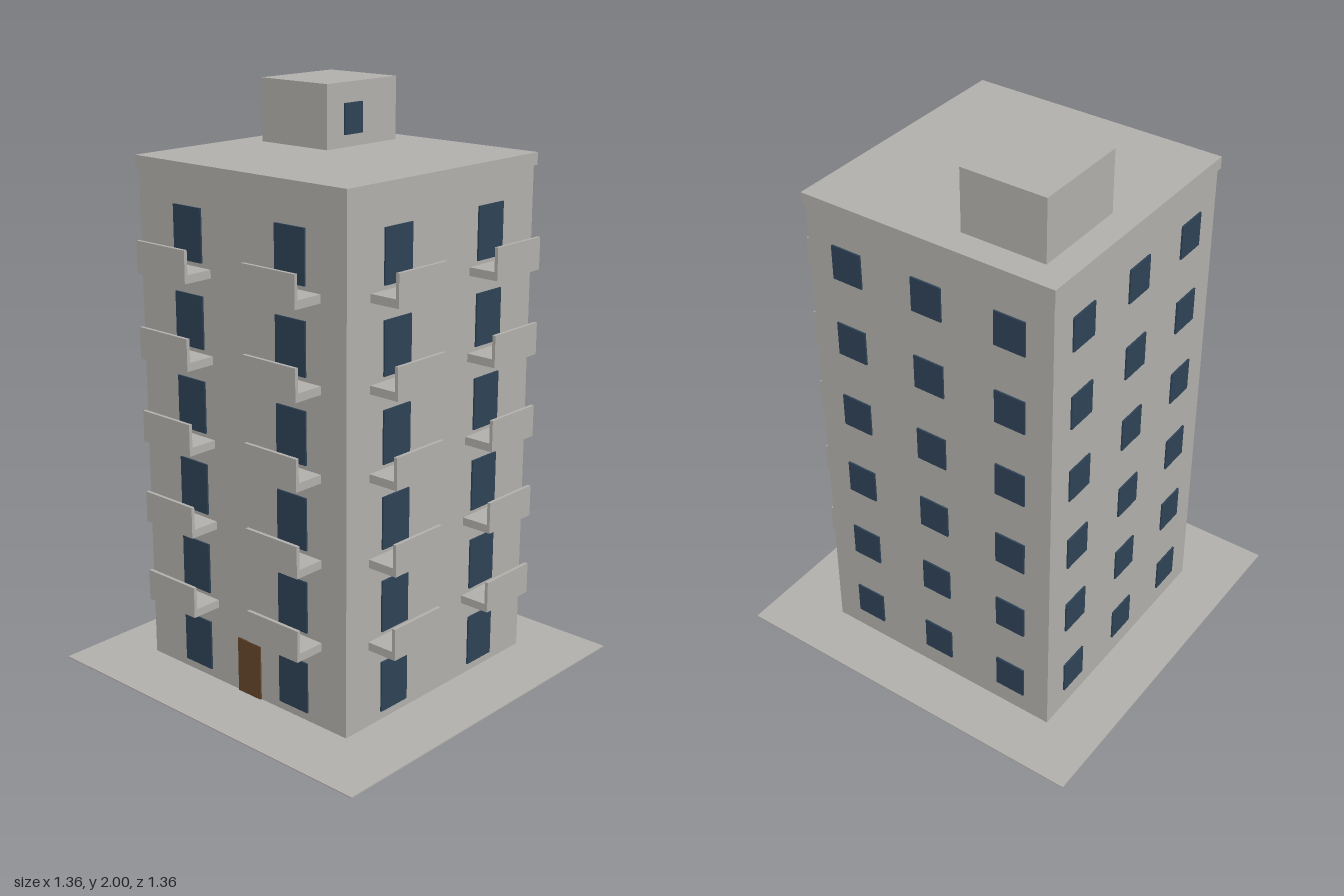
import * as THREE from 'three';

export function createModel() {
  const model = new THREE.Group();
  model.name = 'apartmentBlock';

  const concrete = new THREE.MeshStandardMaterial({ color: 0xb1afaa });
  concrete.name = 'concrete grey';
  const glass = new THREE.MeshStandardMaterial({ color: 0x2e4256 });
  glass.name = 'window blue';
  const wood = new THREE.MeshStandardMaterial({ color: 0x64452b });
  wood.name = 'door brown';

  // Box given by its lower and upper corners
  function box(name, material, [x0, y0, z0], [x1, y1, z1], parent = model) {
    const mesh = new THREE.Mesh(new THREE.BoxGeometry(x1 - x0, y1 - y0, z1 - z0), material);
    mesh.position.set((x0 + x1) / 2, (y0 + y1) / 2, (z0 + z1) / 2);
    mesh.name = name;
    parent.add(mesh);
    return mesh;
  }

  // Box on a wall: u runs along the wall, d is the distance along its axis
  function wallBox(name, material, axis, [u0, u1], [y0, y1], [d0, d1], parent) {
    return axis === 'z'
      ? box(name, material, [u0, y0, d0], [u1, y1, d1], parent)
      : box(name, material, [d0, y0, u0], [d1, y1, u1], parent);
  }

  const LOW = -0.481, HIGH = 0.434, MID = (LOW + HIGH) / 2;
  const FLOORS = 6, STOREY = 0.2866, PLATE = 0.006;

  // Main masses
  box('ground', concrete, [-0.678, 0, -0.678], [0.678, 0.004, 0.678]);
  box('tower', concrete, [LOW, 0.004, LOW], [HIGH, 1.742, HIGH]);
  box('roofSlab', concrete, [-0.486, 1.742, -0.486], [0.445, 1.784, 0.445]);
  box('roofHouse', concrete, [-0.391, 1.784, -0.391], [-0.089, 2, -0.044]);
  box('roofHouseWindow', glass, [-0.089, 1.826, -0.215], [-0.082, 1.931, -0.127]);
  box('door', wood, [-0.053, 0, HIGH], [0.051, 0.2, HIGH + PLATE]);

  // Slab with an upright front panel, open at both ends
  function balcony(axis, u, y) {
    const group = new THREE.Group();
    group.name = 'balcony';
    const span = [u - 0.1125, u + 0.1125];
    wallBox('balconySlab', concrete, axis, span, [y, y + 0.028], [HIGH, 0.533], group);
    wallBox('balconyPanel', concrete, axis, span, [y, y + 0.108], [0.533, 0.545], group);
    model.add(group);
  }

  for (let floor = 0; floor < FLOORS; floor++) {
    const y = floor * STOREY;
    for (const axis of ['x', 'z']) {
      // Front and left walls: two tall windows, balconies above the ground floor
      for (const side of [-1, 1]) {
        const u = MID + side * 0.2275;
        wallBox('tallWindow', glass, axis, [u - 0.0635, u + 0.0635],
          [y + 0.034, y + 0.212], [HIGH, HIGH + PLATE]);
        if (floor > 0) balcony(axis, MID + side * 0.239, y - 0.009);
      }
      // Back and right walls: three small windows
      for (const column of [-1, 0, 1]) {
        const u = MID + column * 0.305;
        wallBox('smallWindow', glass, axis, [u - 0.056, u + 0.056],
          [y + 0.081, y + 0.202], [LOW - PLATE, LOW]);
      }
    }
  }
  return model;
}
